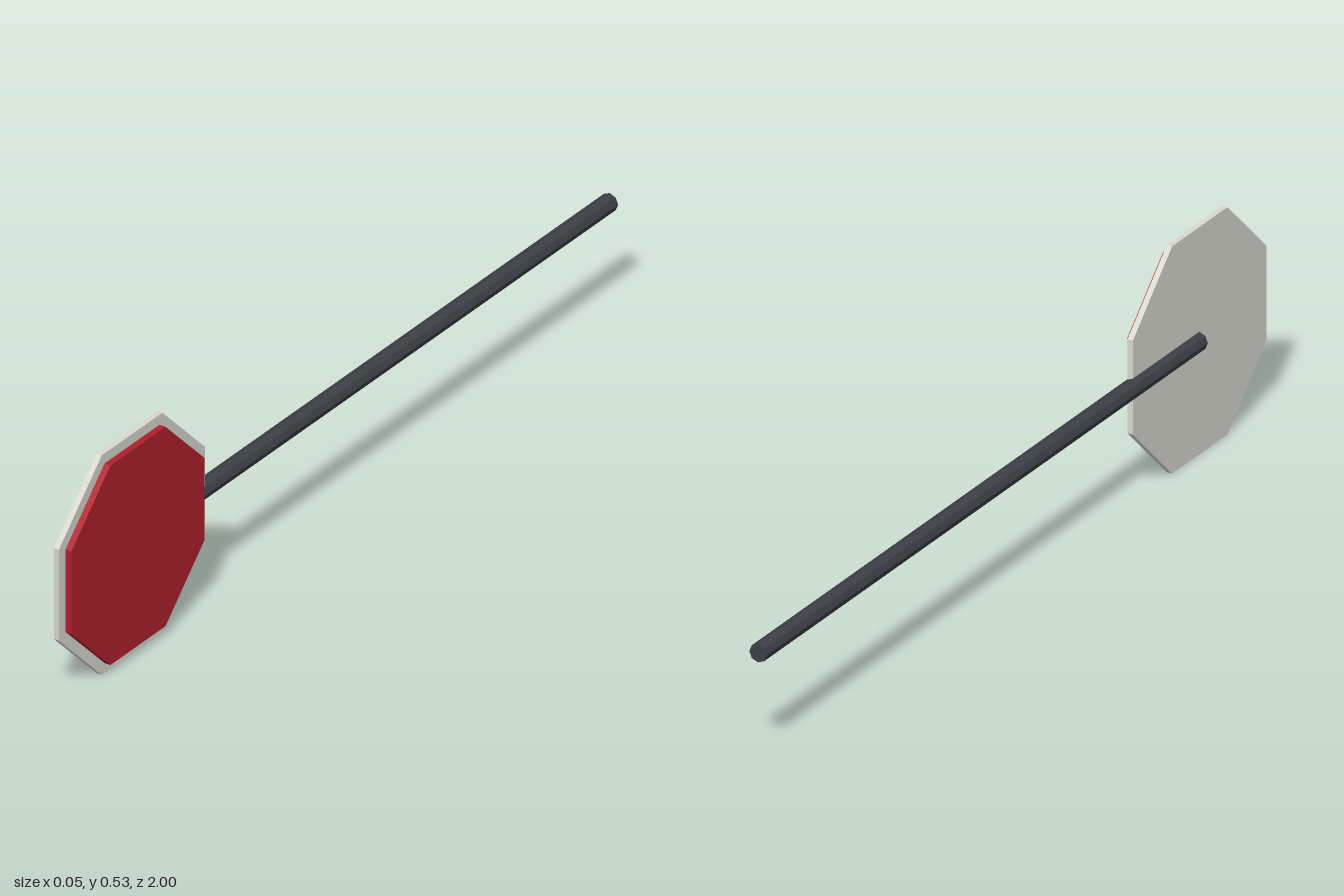
import * as THREE from 'three';

const CENTER_Y = 0.264;
const SIGN_Z = 0.737;

function addPart(group, name, geometry, color) {
  const material = new THREE.MeshStandardMaterial({ color, flatShading: true });
  const mesh = new THREE.Mesh(geometry, material);
  mesh.name = name;
  group.add(mesh);
  return mesh;
}

// Flat-topped octagonal plate facing +x, between x0 and x1
function octagonPlate(apothem, x0, x1) {
  const radius = apothem / Math.cos(Math.PI / 8);
  return new THREE.CylinderGeometry(radius, radius, x1 - x0, 8)
    .rotateY(Math.PI / 8)
    .rotateZ(Math.PI / 2)
    .translate((x0 + x1) / 2, CENTER_Y, SIGN_Z);
}

export function createModel() {
  const group = new THREE.Group();
  group.name = 'stopSign';

  // Pale backing plate, showing as a border round the red face
  addPart(group, 'backPlate', octagonPlate(0.263, -0.004, 0.009), 0xd8d8d0);

  // Raised red face
  addPart(group, 'redFace', octagonPlate(0.239, 0.009, 0.024), 0xb0202c);

  // Eight-sided pole lying along z, ending behind the middle of the plate
  const z0 = -1, z1 = 0.735;
  const pole = new THREE.CylinderGeometry(0.021, 0.021, z1 - z0, 8)
    .rotateX(Math.PI / 2)
    .translate(-0.004, CENTER_Y, (z0 + z1) / 2);
  addPart(group, 'pole', pole, 0x3c4046);

  return group;
}
